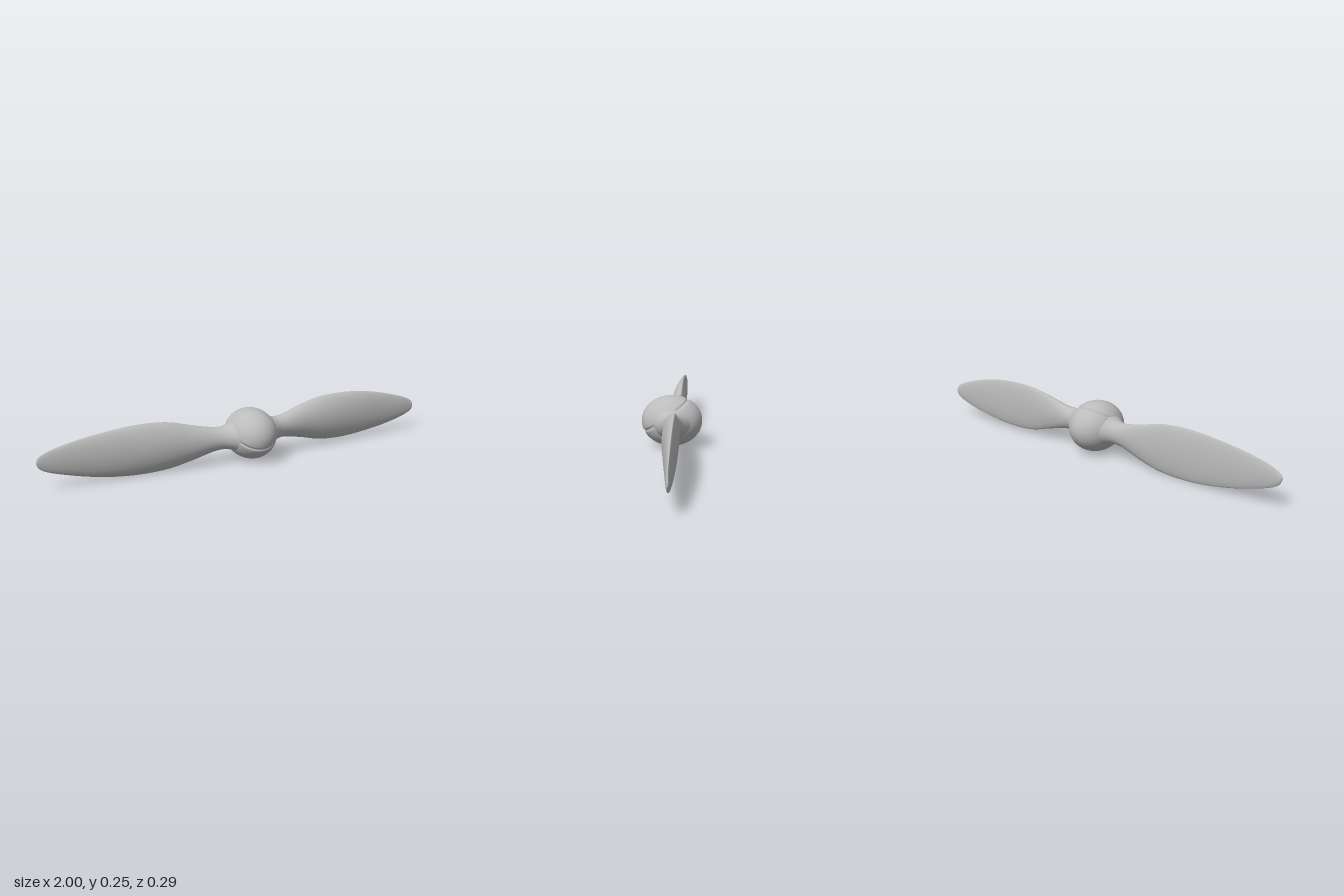
import * as THREE from 'three';

const CENTRE_Y = 0.126;

// Blade stations from root to tip: x, top y, bottom y, front z, back z, edge z
const STATIONS = [
  [0.06, 0.215, 0.04, 0.105, -0.11, 0],
  [0.09, 0.199, 0.056, 0.086, -0.092, -0.002],
  [0.12, 0.188, 0.07, 0.062, -0.069, -0.005],
  [0.15, 0.186, 0.077, 0.043, -0.054, -0.01],
  [0.2, 0.195, 0.074, 0.032, -0.047, -0.018],
  [0.3, 0.225, 0.052, 0.026, -0.05, -0.028],
  [0.4, 0.246, 0.027, 0.023, -0.051, -0.032],
  [0.5, 0.252, 0.018, 0.017, -0.051, -0.033],
  [0.6, 0.249, 0.02, 0.008, -0.05, -0.034],
  [0.7, 0.237, 0.03, -0.001, -0.049, -0.034],
  [0.8, 0.217, 0.044, -0.011, -0.047, -0.035],
  [0.9, 0.19, 0.065, -0.02, -0.045, -0.035],
  [0.96, 0.169, 0.084, -0.026, -0.043, -0.035],
  [0.99, 0.15, 0.1, -0.029, -0.042, -0.035],
  [1.0, 0.132, 0.116, -0.032, -0.039, -0.035],
];

// Lofted blade along +x, relative to the hub centre
function bladeGeometry(rings = 84, sides = 40) {
  const curve = (a, b) => new THREE.CatmullRomCurve3(
    STATIONS.map((s) => new THREE.Vector3(s[0], s[a], s[b])), false, 'catmullrom', 0.5);
  const heights = curve(1, 2);
  const faces = curve(3, 4);
  const edges = curve(5, 5);
  const positions = [];
  const index = [];
  for (let i = 0; i <= rings; i++) {
    const t = i / rings;
    const h = heights.getPoint(t);
    const f = faces.getPoint(t);
    const edge = edges.getPoint(t).y;
    // Round neck sharpening into a lens-shaped section
    const power = 1 + 0.25 * THREE.MathUtils.smoothstep(h.x, 0.15, 0.4);
    for (let j = 0; j < sides; j++) {
      const a = (j / sides) * Math.PI * 2;
      const s = Math.sin(a);
      const y = (h.y + h.z) / 2 + ((h.y - h.z) / 2) * Math.cos(a);
      const z = edge + ((s > 0 ? f.y : f.z) - edge) * Math.pow(Math.abs(s), power);
      positions.push(h.x, y - CENTRE_Y, z);
      if (i < rings) {
        const p = i * sides + j;
        const q = i * sides + ((j + 1) % sides);
        index.push(p, q, p + sides, q, q + sides, p + sides);
      }
    }
  }
  // Close the tip
  const tip = positions.length / 3;
  positions.push(1, 0.124 - CENTRE_Y, -0.035);
  for (let j = 0; j < sides; j++) {
    index.push(rings * sides + j, rings * sides + ((j + 1) % sides), tip);
  }
  const geometry = new THREE.BufferGeometry();
  geometry.setAttribute('position', new THREE.Float32BufferAttribute(positions, 3));
  geometry.setIndex(index);
  geometry.computeVertexNormals();
  return geometry;
}

// Ellipsoid hub with a fine tilted seam pressed into its surface
function hubGeometry() {
  const geometry = new THREE.SphereGeometry(1, 160, 120);
  const tilt = new THREE.Vector3(0, 1, 0.72).normalize();
  const pos = geometry.attributes.position;
  const p = new THREE.Vector3();
  for (let i = 0; i < pos.count; i++) {
    p.fromBufferAttribute(pos, i).multiply(new THREE.Vector3(0.12, 0.12, 0.143));
    const d = p.dot(tilt) - 0.039;
    p.multiplyScalar(1 - 0.045 * Math.exp(-((d / 0.005) ** 2)));
    pos.setXYZ(i, p.x, p.y, p.z);
  }
  geometry.computeVertexNormals();
  return geometry;
}

export function createModel() {
  const grey = new THREE.MeshStandardMaterial({ color: 0xbcbcbc });
  grey.name = 'light grey';

  const model = new THREE.Group();
  model.name = 'propeller';

  const hub = new THREE.Mesh(hubGeometry(), grey);
  hub.name = 'hub';
  hub.position.y = CENTRE_Y;
  model.add(hub);

  // Two blades, the second turned half a turn about the shaft
  const blade = bladeGeometry();
  ['leftBlade', 'rightBlade'].forEach((name, i) => {
    const mesh = new THREE.Mesh(blade, grey);
    mesh.name = name;
    mesh.position.y = CENTRE_Y;
    mesh.rotation.z = i * Math.PI;
    model.add(mesh);
  });

  return model;
}
